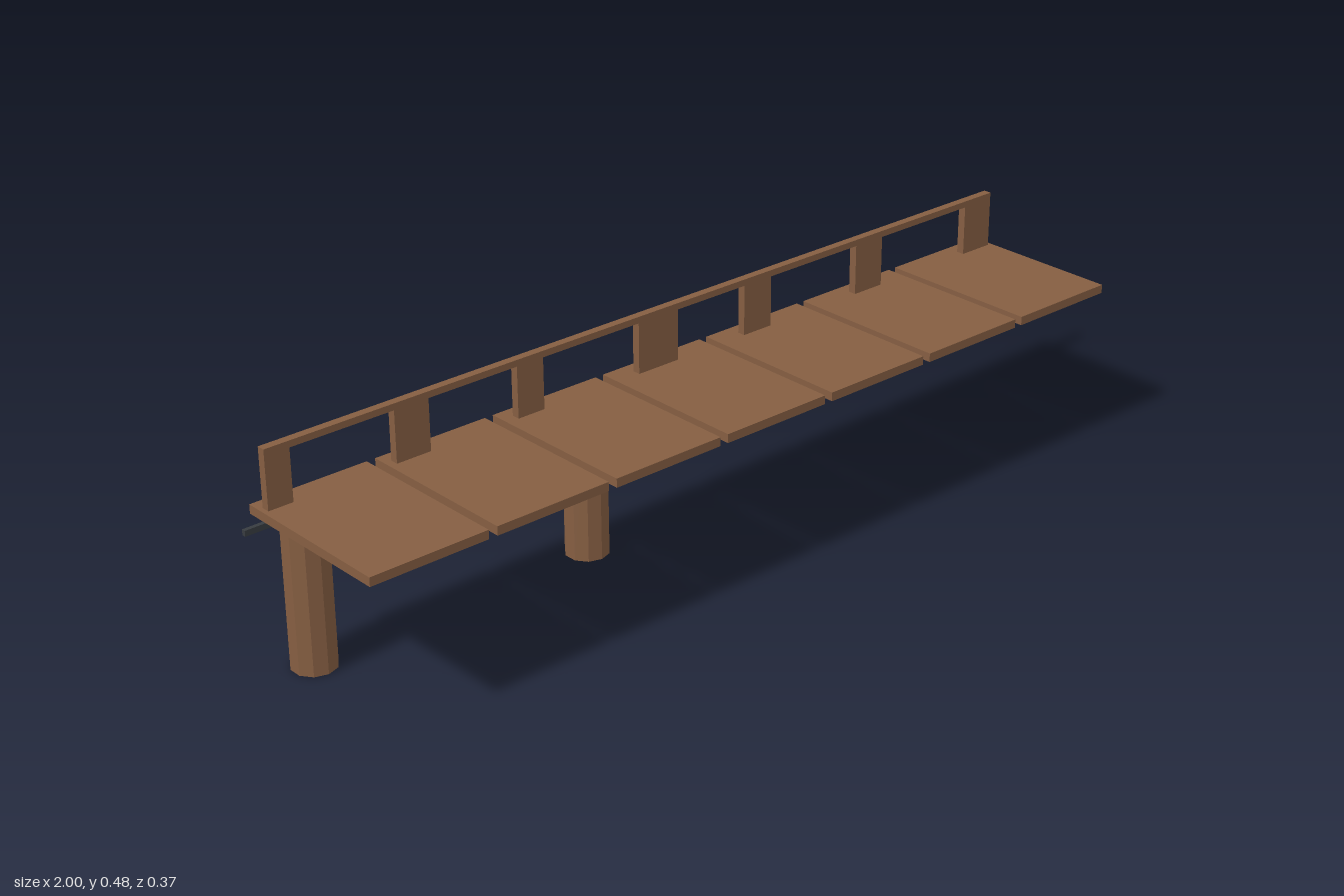
import * as THREE from 'three';

export function createModel() {
  const model = new THREE.Group();
  model.name = 'boardwalk';
  const wood = new THREE.MeshStandardMaterial({ color: 0x855e42, flatShading: true });
  const darkMetal = new THREE.MeshStandardMaterial({ color: 0x383c40, flatShading: true });

  const add = (name, geometry, material, x, y, z) => {
    const mesh = new THREE.Mesh(geometry, material);
    mesh.name = name;
    mesh.position.set(x, y, z);
    model.add(mesh);
  };
  // Box given by its limits on each axis
  const addBox = (name, material, [x0, x1], [y0, y1], [z0, z1]) =>
    add(name, new THREE.BoxGeometry(x1 - x0, y1 - y0, z1 - z0), material,
      (x0 + x1) / 2, (y0 + y1) / 2, (z0 + z1) / 2);

  // Deck: seven evenly spaced planks
  for (let i = 0; i < 7; i++) {
    const x = -0.824 + i * 0.2815;
    addBox('deckPlank', wood, [x - 0.131, x + 0.131], [0.333, 0.352], [-0.185, 0.187]);
  }

  // Railing: uneven posts under one long handrail
  const railZ = [-0.156, -0.138];
  const posts = [[-0.945, -0.89], [-0.657, -0.577], [-0.365, -0.3], [-0.054, 0.051],
    [0.235, 0.311], [0.562, 0.641], [0.904, 0.986]];
  for (const span of posts) addBox('railPost', wood, span, [0.352, 0.463], railZ);
  addBox('handrail', wood, [-0.945, 0.986], [0.463, 0.477], railZ);

  // Thin support rod under the deck
  addBox('supportRod', darkMetal, [-1, 1], [0.321, 0.333], [-0.143, -0.134]);

  // Ten-sided pilings
  const piling = new THREE.CylinderGeometry(0.047, 0.047, 0.329, 10);
  for (const x of [-0.871, -0.2]) add('piling', piling, wood, x, 0.1645, -0.138);

  return model;
}
